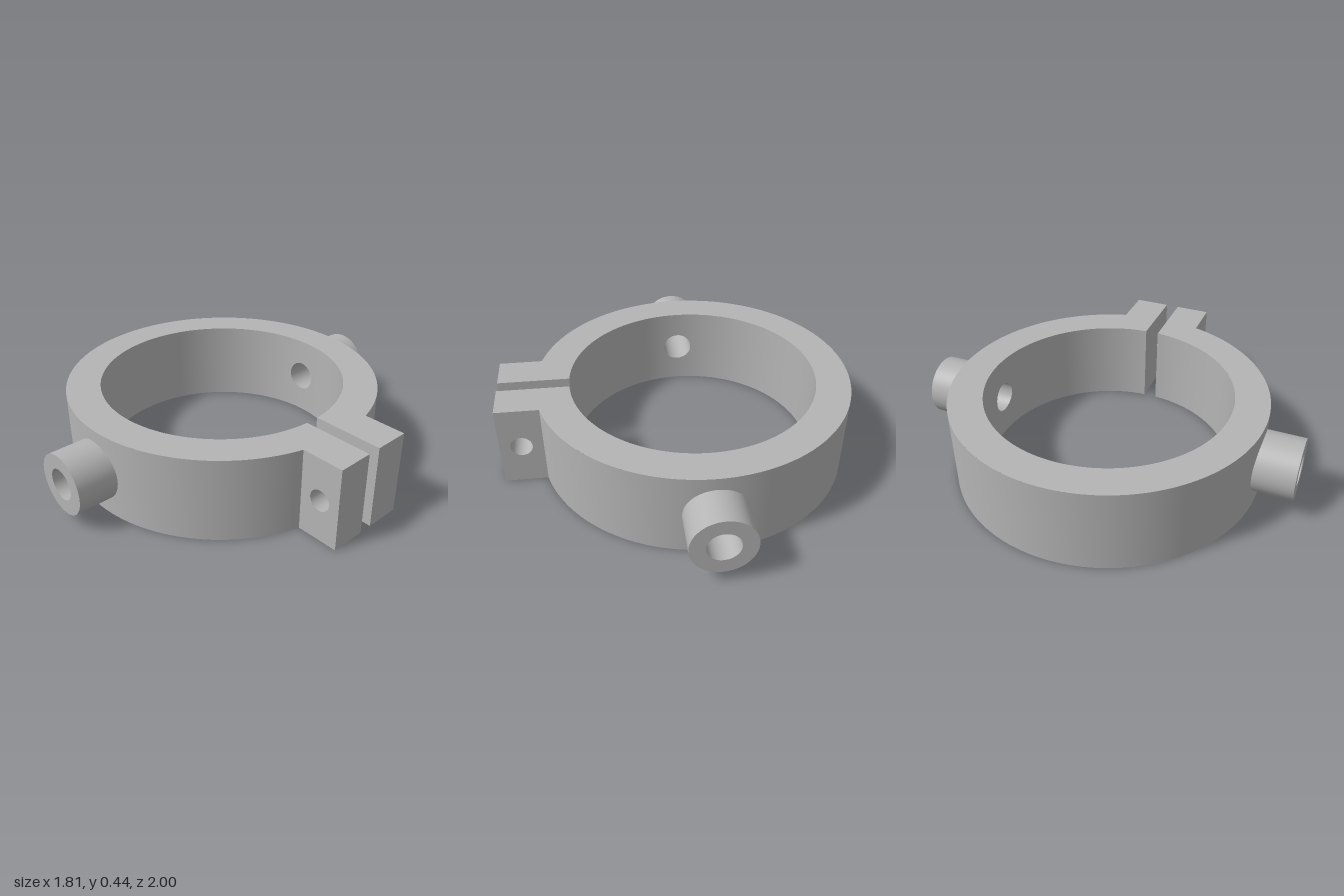
import * as THREE from 'three';
import { ParametricGeometry } from 'three/addons/geometries/ParametricGeometry.js';
import { mergeGeometries } from 'three/addons/utils/BufferGeometryUtils.js';

const H = 0.437, MID = H / 2;          // band height and centre line
const CX = -0.095, RO = 0.81, RI = 0.635; // ring centre, outer and inner radius
const BOSS = 0.155, BORE = 0.08, BOSS_END = 1;
const GAP = 0.035, LUG_Z = 0.22, LUG_X = 0.905, BOLT_X = 0.795, BOLT_R = 0.055;
const LUG_X0 = CX + Math.sqrt(RO * RO - LUG_Z * LUG_Z);
const GAP_X0 = CX + Math.sqrt(RI * RI - GAP * GAP);
const lerp = THREE.MathUtils.lerp;

// Part of a cylindrical wall between two angles; increasing angles face the axis
function wall(r, t0, t1) {
  return new ParametricGeometry((u, v, p) => {
    const t = lerp(t0, t1, u);
    p.set(CX + r * Math.cos(t), v * H, r * Math.sin(t));
  }, 48, 1);
}

// Curved wall panel with a round opening at its centre
function panel(r, halfWidth, hole, outward) {
  return new ParametricGeometry((u, v, p) => {
    const a = (outward ? -1 : 1) * u * Math.PI * 2;
    const c = Math.cos(a), s = Math.sin(a);
    const k = 1 / Math.max(Math.abs(c), Math.abs(s));
    const x = lerp(hole * c, halfWidth * c * k, v);
    const y = lerp(hole * s, MID * s * k, v);
    p.set(CX + x, MID + y, Math.sqrt(r * r - x * x));
  }, 64, 8);
}

// Round tube along z, starting at a depth given by its x offset
function tube(x, r, start, end, outward) {
  return new ParametricGeometry((u, v, p) => {
    const a = (outward ? 1 : -1) * u * Math.PI * 2;
    const dx = r * Math.cos(a);
    p.set(x + dx, MID + r * Math.sin(a), lerp(start(dx), end, v));
  }, 64, 1);
}

// Ring wall with a boss opening in the middle of the half circle
function piercedWall(r, endZ, halfWidth, hole, outward) {
  const t0 = Math.asin(endZ / r), t1 = Math.acos(halfWidth / r);
  const spans = [[t0, t1], [Math.PI - t1, Math.PI]];
  const walls = spans.map(([a, b]) => (outward ? wall(r, b, a) : wall(r, a, b)));
  return mergeGeometries([...walls, panel(r, halfWidth, hole, outward)]);
}

// Flat half of the clamp outline, including the lug
function cap(top) {
  const s = top ? -1 : 1, n = 96, pts = [];
  const arc = (r, a, b) => {
    for (let i = 0; i <= n; i++) {
      const t = lerp(a, b, i / n);
      pts.push(new THREE.Vector2(CX + r * Math.cos(t), s * r * Math.sin(t)));
    }
  };
  arc(RO, Math.asin(LUG_Z / RO), Math.PI);
  arc(RI, Math.PI, Math.asin(GAP / RI));
  pts.push(new THREE.Vector2(LUG_X, s * GAP), new THREE.Vector2(LUG_X, s * LUG_Z));
  const g = new THREE.ShapeGeometry(new THREE.Shape(pts));
  return g.rotateX(s * Math.PI / 2).translate(0, top ? H : 0, 0);
}

// Lug face with a bolt hole; side is the z direction it faces
function lugFace(x0, z, side) {
  const shape = new THREE.Shape([[x0, 0], [LUG_X, 0], [LUG_X, H], [x0, H]]
    .map(([x, y]) => new THREE.Vector2(side * x, y)));
  const hole = new THREE.Path();
  hole.absarc(side * BOLT_X, MID, BOLT_R, 0, Math.PI * 2, true);
  shape.holes.push(hole);
  const g = new THREE.ShapeGeometry(shape, 32);
  if (side < 0) g.rotateY(Math.PI);
  return g.translate(0, 0, z);
}

function createHalf(material) {
  const half = new THREE.Group();
  const add = (name, geometry) => {
    const mesh = new THREE.Mesh(geometry, material);
    mesh.name = name;
    half.add(mesh);
  };
  const onWall = (r) => (x) => Math.sqrt(r * r - x * x);

  // Band
  add('bandOuterWall', piercedWall(RO, LUG_Z, 0.21, BOSS, true));
  add('bandInnerWall', piercedWall(RI, GAP, 0.15, BORE, false));
  add('topFace', cap(true));
  add('bottomFace', cap(false));

  // Hollow side boss
  add('boss', tube(CX, BOSS, onWall(RO), BOSS_END, true));
  add('bossBore', tube(CX, BORE, onWall(RI), BOSS_END, false));
  add('bossEnd', new THREE.RingGeometry(BORE, BOSS, 64).translate(CX, MID, BOSS_END));

  // Clamping lug
  add('lugOuterFace', lugFace(LUG_X0, LUG_Z, 1));
  add('lugGapFace', lugFace(GAP_X0, GAP, -1));
  add('lugEnd', new THREE.PlaneGeometry(LUG_Z - GAP, H)
    .rotateY(Math.PI / 2).translate(LUG_X, MID, (LUG_Z + GAP) / 2));
  add('boltHole', tube(BOLT_X, BOLT_R, () => GAP, LUG_Z, false));
  return half;
}

export function createModel() {
  const metal = new THREE.MeshStandardMaterial({ color: 0xb4b4b4 });
  metal.name = 'grey metal';

  const model = new THREE.Group();
  model.name = 'splitClamp';
  const front = createHalf(metal);
  front.name = 'frontHalf';

  // The back half is the front half turned over about the x axis
  const back = createHalf(metal);
  back.name = 'backHalf';
  back.rotation.x = Math.PI;
  back.position.y = H;

  model.add(front, back);
  return model;
}
